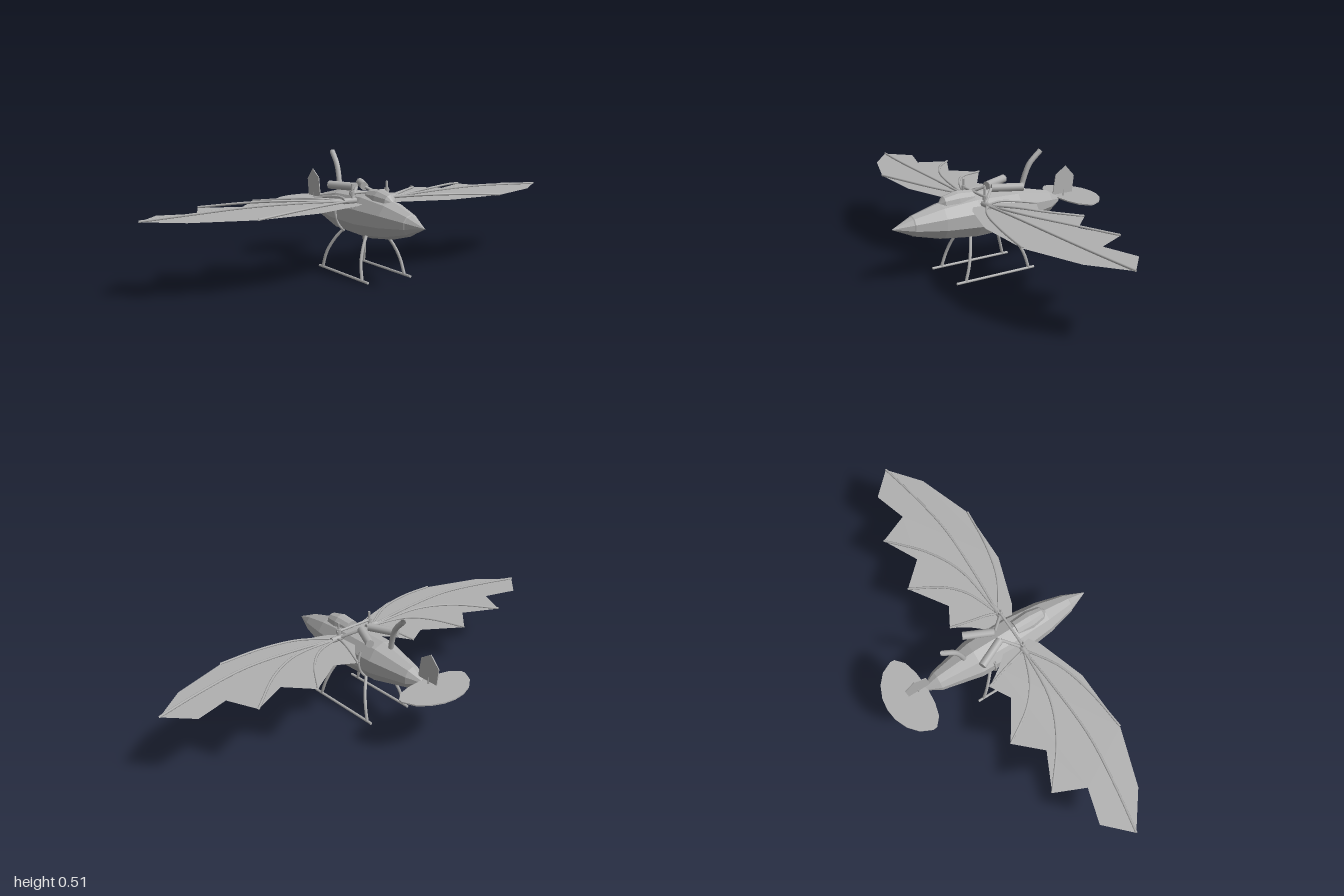
import * as THREE from 'three';

const grey = new THREE.MeshStandardMaterial({ color: 0xb0b0b0, side: THREE.DoubleSide });
grey.name = 'plain grey';

const V = (p) => new THREE.Vector3(...p);

function add(parent, name, geometry) {
  const mesh = new THREE.Mesh(geometry, grey);
  mesh.name = name;
  parent.add(mesh);
  return mesh;
}

// Faceted copy of a geometry
function flat(geometry) {
  const g = geometry.index ? geometry.toNonIndexed() : geometry;
  g.computeVertexNormals();
  return g;
}

// Straight closed rod between two points
function rod(a, b, radius, sides = 8) {
  const from = V(a), to = V(b), dir = to.clone().sub(from);
  const g = new THREE.CylinderGeometry(radius, radius, dir.length(), sides);
  g.applyQuaternion(new THREE.Quaternion().setFromUnitVectors(new THREE.Vector3(0, 1, 0), dir.normalize()));
  return g.translate(...from.add(to).multiplyScalar(0.5).toArray());
}

// Curved rod through points
function bent(points, radius, segments = 12, sides = 7) {
  return new THREE.TubeGeometry(new THREE.CatmullRomCurve3(points.map(V)), segments, radius, sides);
}

// Spindle along z from [z, radius] stations, tail to nose
function spindle(stations, sides, widthScale, y) {
  const g = new THREE.LatheGeometry(stations.map(([z, r]) => new THREE.Vector2(r, z)), sides);
  return flat(g.rotateX(Math.PI / 2).scale(widthScale, 1, 1).translate(0, y, 0));
}

function plate(points, depth) {
  const shape = new THREE.Shape(points.map(([a, b]) => new THREE.Vector2(a, b)));
  return new THREE.ExtrudeGeometry(shape, { depth, bevelEnabled: false }).translate(0, 0, -depth / 2);
}

// Scalloped wing skin with curved finger ribs and a root hub
function buildWing(side) {
  const wing = new THREE.Group();
  wing.name = side > 0 ? 'leftWing' : 'rightWing';
  const outline = [
    [0.05, 0.15], [0.11, 0.19], [0.33, 0.262], [0.6, 0.267], [0.85, 0.18], [0.995, 0.065],
    [0.89, -0.04], [0.74, 0.005], [0.68, -0.13], [0.52, -0.05], [0.417, -0.16],
    [0.25, -0.05], [0.16, -0.1], [0.11, -0.02], [0.05, 0.05],
  ];
  const skin = new THREE.ShapeGeometry(new THREE.Shape(outline.map(([x, z]) => new THREE.Vector2(x * side, -z))));
  add(wing, 'wingSkin', skin.rotateX(-Math.PI / 2).translate(0, 0.317, 0));

  // Each rib: middle points and tip, as [x, y, z]
  const ribs = [
    [[0.25, 0.337, 0.2], [0.42, 0.333, 0.245], [0.6, 0.319, 0.267]],
    [[0.32, 0.34, 0.125], [0.57, 0.345, 0.128], [0.8, 0.333, 0.1], [0.995, 0.319, 0.065]],
    [[0.35, 0.345, 0.08], [0.51, 0.342, 0.005], [0.68, 0.319, -0.13]],
    [[0.25, 0.343, 0.045], [0.33, 0.337, -0.025], [0.417, 0.319, -0.16]],
    [[0.115, 0.34, 0.06], [0.13, 0.335, 0], [0.16, 0.319, -0.1]],
  ];
  for (const rib of ribs) {
    const points = [[0.1, 0.327, 0.113], ...rib].map(([x, y, z]) => [x * side, y, z]);
    add(wing, 'wingRib', bent(points, 0.005, 16, 6));
  }
  add(wing, 'wingHub', rod([side * 0.07, 0.328, 0.113], [side * 0.13, 0.328, 0.113], 0.013));
  return wing;
}

export function createModel() {
  const model = new THREE.Group();
  model.name = 'ornithopter';

  // Hull and canopy
  add(model, 'hull', spindle([[-0.325, 0], [-0.325, 0.014], [-0.265, 0.05], [-0.08, 0.093], [0.13, 0.1],
    [0.285, 0.08], [0.415, 0.045], [0.42, 0.041], [0.51, 0]], 10, 0.92, 0.26));
  add(model, 'canopy', spindle([[0.13, 0], [0.13, 0.042], [0.205, 0.048], [0.268, 0.033], [0.29, 0.006], [0.292, 0]],
    12, 0.9, 0.332));

  // Wing drive: axle, uprights and twin engine cylinders
  add(model, 'driveAxle', rod([-0.1, 0.36, 0.113], [0.1, 0.36, 0.113], 0.006));
  for (const s of [1, -1]) {
    model.add(buildWing(s));
    add(model, 'driveUpright', rod([s * 0.088, 0.295, 0.115], [s * 0.088, 0.4, 0.115], 0.005));
    add(model, 'driveCollar', rod([s * 0.088, 0.35, 0.115], [s * 0.088, 0.37, 0.115], 0.011));
    add(model, 'engineCylinder', rod([s * 0.022, 0.373, 0.04], [s * 0.08, 0.373, -0.085], 0.018, 12));
    add(model, 'pushRod', rod([s * 0.024, 0.37, 0.045], [s * 0.085, 0.33, 0.11], 0.007));

    // Landing gear
    add(model, 'skid', rod([s * 0.108, 0.006, 0.267], [s * 0.108, 0.006, -0.125], 0.006));
    add(model, 'frontLeg', bent([[s * 0.035, 0.2, 0.155], [s * 0.075, 0.14, 0.18], [s * 0.1, 0.075, 0.201],
      [s * 0.108, 0.008, 0.222]], 0.007));
    add(model, 'rearLeg', bent([[s * 0.035, 0.2, -0.01], [s * 0.075, 0.14, -0.047], [s * 0.1, 0.075, -0.077],
      [s * 0.108, 0.008, -0.097]], 0.007));
    add(model, 'hullStrap', bent([[s * 0.078, 0.31, -0.02], [s * 0.09, 0.26, -0.02], [s * 0.074, 0.205, -0.02],
      [s * 0.045, 0.175, -0.02]], 0.006));
  }

  // Exhaust stack
  add(model, 'exhaustStack', bent([[0, 0.345, -0.128], [0.004, 0.4, -0.143], [0.008, 0.45, -0.165],
    [0.015, 0.505, -0.218]], 0.012, 12, 8));

  // Tail fin and tailplane
  const fin = plate([[0.3, 0.283], [0.315, 0.375], [0.37, 0.41], [0.417, 0.36], [0.408, 0.283]], 0.004);
  add(model, 'tailFin', fin.rotateY(Math.PI / 2));
  const half = [[0, 0.515], [0.055, 0.508], [0.11, 0.485], [0.155, 0.447], [0.18, 0.395], [0.178, 0.375],
    [0.14, 0.342], [0.08, 0.326], [0, 0.32]];
  const outline = [...half, ...half.slice(1, -1).reverse().map(([x, z]) => [-x, z])];
  add(model, 'tailplane', plate(outline, 0.006).rotateX(-Math.PI / 2).translate(0, 0.268, 0));
  add(model, 'tailBoom', rod([0, 0.266, -0.31], [0, 0.266, -0.42], 0.005));
  add(model, 'finPost', rod([0, 0.262, -0.36], [0, 0.3, -0.36], 0.004));

  return model;
}
